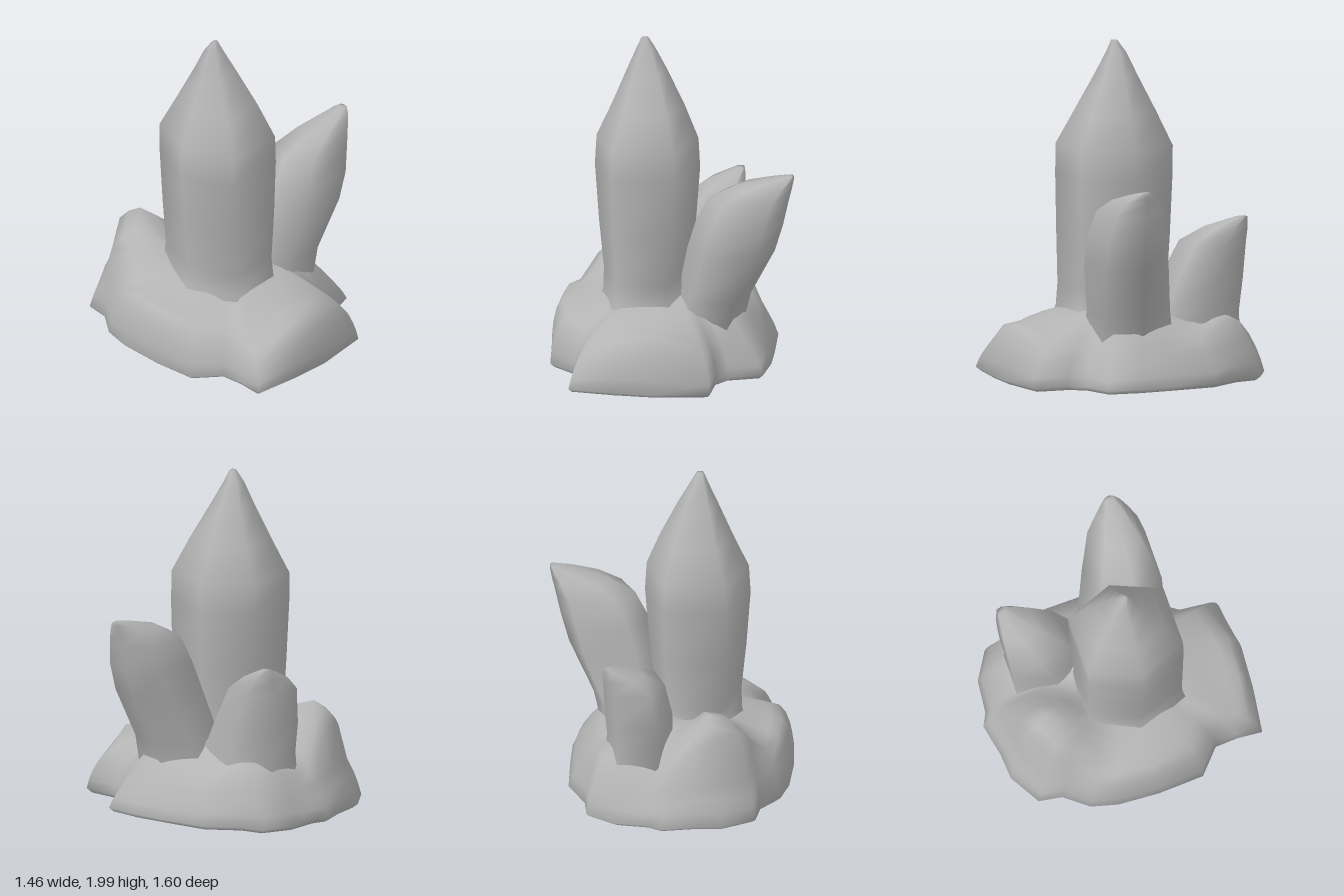
import * as THREE from 'three';

// Skin a closed solid over stacked rings of points, counter-clockwise seen from above.
function loft(rings) {
  const n = rings[0].length;
  const pos = rings.flat(2), idx = [];
  for (let r = 0; r < rings.length - 1; r++) {
    for (let i = 0; i < n; i++) {
      const j = (i + 1) % n, a = r * n, b = a + n;
      idx.push(a + i, a + j, b + j, a + i, b + j, b + i);
    }
  }
  const mean = (ring) => [0, 1, 2].map((k) => ring.reduce((s, p) => s + p[k], 0) / n);
  // top fan shares the last ring so the shading flows over it
  const top = pos.length / 3, last = (rings.length - 1) * n;
  pos.push(...mean(rings[rings.length - 1]));
  for (let i = 0; i < n; i++) idx.push(top, last + i, last + (i + 1) % n);
  // bottom fan has its own corners so the underside stays flat
  const base = pos.length / 3;
  pos.push(...rings[0].flat(), ...mean(rings[0]));
  for (let i = 0; i < n; i++) idx.push(base + n, base + (i + 1) % n, base + i);
  const g = new THREE.BufferGeometry();
  g.setAttribute('position', new THREE.Float32BufferAttribute(pos, 3));
  g.setIndex(idx);
  g.computeVertexNormals();
  return g;
}

// Six-sided crystal from levels of [y, xMin, xMax, zMin, zMax].
function crystal(levels) {
  const hex = [[1, 0], [0.6, -1], [-0.6, -1], [-1, 0], [-0.6, 1], [0.6, 1]];
  return loft(levels.map(([y, x0, x1, z0, z1]) => hex.map(([u, v]) => [
    (x0 + x1) / 2 + u * (x1 - x0) / 2, y, (z0 + z1) / 2 + v * (z1 - z0) / 2,
  ])));
}

// Rock outline: [x, z, shoulder height, slope of the side]
const outline = [
  [0, -0.8, 0.28, 1], [-0.2, -0.76, 0.32, 0.7], [-0.36, -0.75, 0.34, 0.7], [-0.55, -0.64, 0.3, 0.7],
  [-0.57, -0.5, 0.33, 0.3], [-0.68, -0.36, 0.3, 0.4], [-0.72, -0.2, 0.34, 0.1], [-0.73, 0.05, 0.34, 0],
  [-0.71, 0.33, 0.3, 0.3], [-0.56, 0.46, 0.26, 0.3], [-0.55, 0.6, 0.25, 0.5], [-0.56, 0.75, 0.22, 0.6],
  [-0.3, 0.785, 0.32, 0.1], [-0.05, 0.8, 0.35, 0.1], [0.28, 0.76, 0.24, 0.4], [0.3, 0.55, 0.23, 0.4],
  [0.37, 0.46, 0.23, 0.6], [0.56, 0.4, 0.22, 1], [0.59, 0.2, 0.25, 1], [0.59, 0, 0.26, 1],
  [0.58, -0.3, 0.26, 0.9], [0.47, -0.5, 0.3, 0.4], [0.45, -0.64, 0.3, 0.6], [0.28, -0.74, 0.31, 0.8],
  [0.08, -0.76, 0.25, 1],
];

// Rounded swellings on the rock: [x, z, height, radius]
const lumps = [
  [-0.3, -0.49, 0.29, 0.22], [0.37, -0.47, 0.06, 0.16],
  [0.28, 0.14, 0.06, 0.2], [0.08, -0.18, 0.2, 0.12],
];

function rock() {
  const cx = -0.07;
  // [scale, share of shoulder height, added height]
  const steps = [
    [0.96, 0, 0.01], [1, 0, 0.035], [0.995, 0.3, 0.02], [0.985, 0.58, 0], [0.955, 0.84, 0],
    [0.9, 1, 0.01], [0.8, 0.6, 0.155], [0.69, 0.3, 0.27], [0.56, 0.12, 0.355],
    [0.44, 0.05, 0.4], [0.32, 0, 0.425], [0.2, 0, 0.43],
  ];
  return loft(steps.map(([scale, share, add], level) => outline.map(([x, z, h, slope]) => {
    const s = scale - 0.1 * slope * share;
    const px = cx + (x - cx) * s, pz = z * s;
    let y = share * h + add;
    if (level > 4) {
      for (const [lx, lz, lh, lr] of lumps) {
        y += lh * Math.exp(-((px - lx) ** 2 + (pz - lz) ** 2) / (lr * lr));
      }
    }
    return [px, y, pz];
  })));
}

export function createModel() {
  const group = new THREE.Group();
  const stone = new THREE.MeshStandardMaterial({ color: 0xb4b4b4 });
  stone.name = 'grey stone';

  const add = (name, geometry) => {
    const mesh = new THREE.Mesh(geometry, stone);
    mesh.name = name;
    group.add(mesh);
  };

  add('rockBase', rock());

  add('tallCrystal', crystal([
    [0.3, -0.46, 0.14, -0.3, 0.38],
    [0.42, -0.425, 0.1, -0.26, 0.34],
    [0.55, -0.42, 0.09, -0.24, 0.33],
    [0.85, -0.45, 0.125, -0.25, 0.33],
    [1.2, -0.475, 0.15, -0.26, 0.33],
    [1.38, -0.465, 0.14, -0.265, 0.33],
    [1.58, -0.375, 0.06, -0.18, 0.235],
    [1.8, -0.285, -0.045, -0.085, 0.125],
    [1.93, -0.23, -0.115, -0.035, 0.065],
    [2, -0.2, -0.155, 0.01, 0.04],
  ]));

  add('sideCrystal', crystal([
    [0.28, 0.0, 0.42, -0.12, 0.34],
    [0.45, 0.03, 0.46, -0.085, 0.34],
    [0.75, 0.09, 0.61, -0.015, 0.39],
    [0.92, 0.14, 0.66, 0.02, 0.395],
    [1.08, 0.22, 0.695, 0.05, 0.365],
    [1.16, 0.38, 0.715, 0.11, 0.325],
    [1.21, 0.57, 0.725, 0.165, 0.285],
    [1.235, 0.69, 0.725, 0.2, 0.25],
  ]));

  add('backCrystal', crystal([
    [0.3, -0.06, 0.36, -0.58, -0.04],
    [0.42, -0.04, 0.35, -0.58, -0.09],
    [0.6, -0.04, 0.36, -0.6, -0.17],
    [0.82, 0.0, 0.365, -0.615, -0.28],
    [0.91, 0.12, 0.365, -0.615, -0.4],
    [0.98, 0.3, 0.355, -0.6, -0.54],
  ]));

  return group;
}
